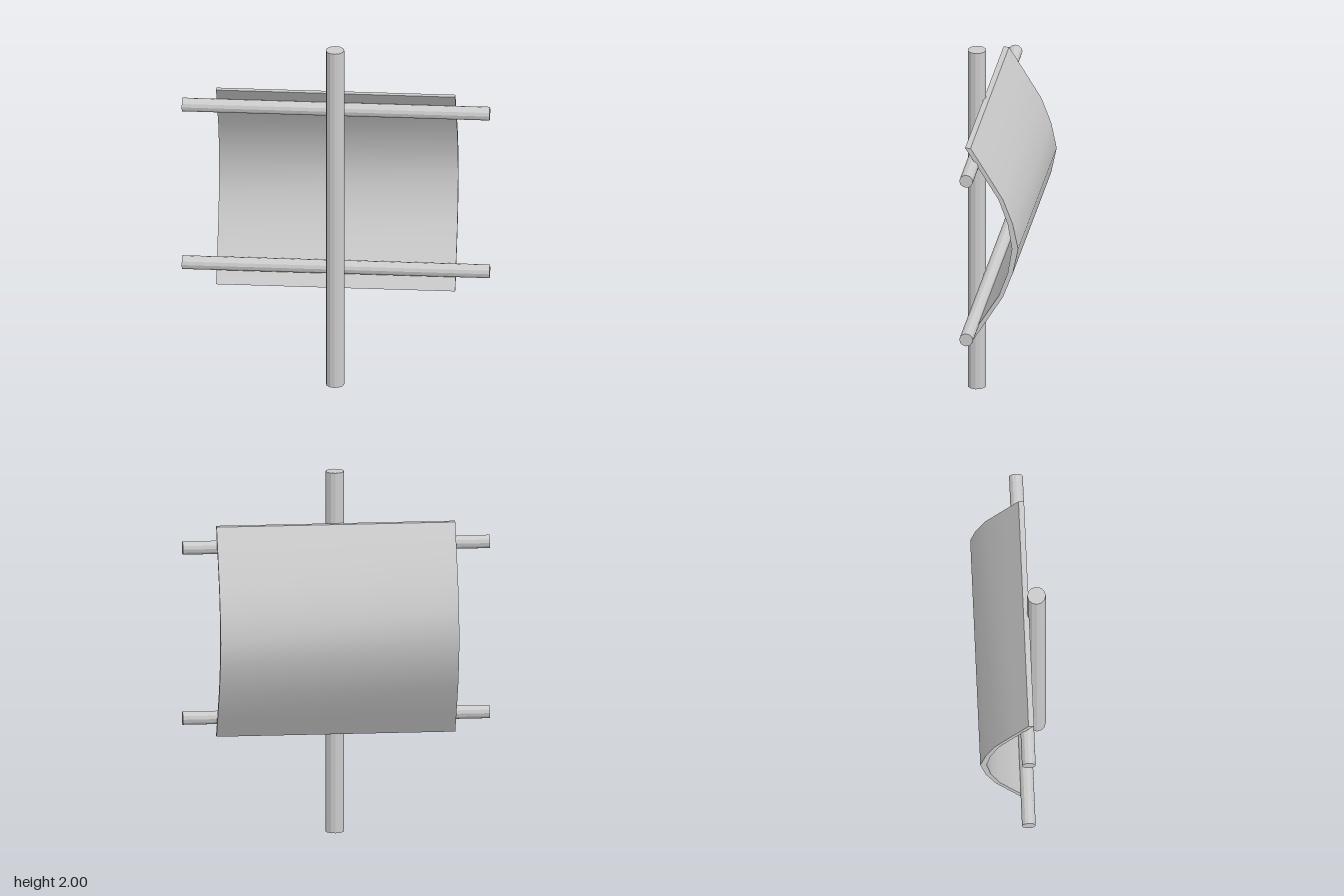
import * as THREE from 'three';
import { toCreasedNormals } from 'three/addons/utils/BufferGeometryUtils.js';

export function createModel() {
  const group = new THREE.Group();
  const flat = new THREE.MeshStandardMaterial({ color: 0xcccccc, flatShading: true });
  const smooth = new THREE.MeshStandardMaterial({ color: 0xcccccc });

  const add = (name, geometry, material) => {
    const mesh = new THREE.Mesh(geometry, material);
    mesh.name = name;
    group.add(mesh);
    return mesh;
  };

  // Upright pole in front
  add('pole', new THREE.CylinderGeometry(0.05, 0.05, 2, 12), flat).position.set(0, 1, 0.14);

  // Two horizontal rods behind the pole
  for (const [name, y] of [['upperRod', 1.61], ['lowerRod', 0.665]]) {
    const rod = add(name, new THREE.CylinderGeometry(0.037, 0.037, 1.66, 12), flat);
    rod.rotation.z = Math.PI / 2;
    rod.position.set(0, y, 0.064);
  }

  // Bowed sail: half profile as [z, height from middle], mirrored top to bottom
  const midY = 1.138, width = 1.29;
  const outerHalf = [[0.07, 0.582], [0, 0.468], [-0.107, 0.29], [-0.16, 0.148]];
  const innerHalf = [[0.1, 0.582], [0.015, 0.448], [-0.084, 0.285], [-0.133, 0.145]];
  const mirrored = (half, middleZ) => [
    ...half,
    [middleZ, 0],
    ...half.map(([z, h]) => [z, -h]).reverse(),
  ];
  const outline = [...mirrored(outerHalf, -0.19), ...mirrored(innerHalf, -0.156).reverse()];
  // The shape's x axis becomes -z once the extrusion is turned to run along x
  const shape = new THREE.Shape(outline.map(([z, h]) => new THREE.Vector2(-z, midY + h)));
  const sail = new THREE.ExtrudeGeometry(shape, { depth: width, bevelEnabled: false });
  sail.translate(0, 0, -width / 2).rotateY(Math.PI / 2);
  add('sail', toCreasedNormals(sail, 0.6), smooth);

  return group;
}
